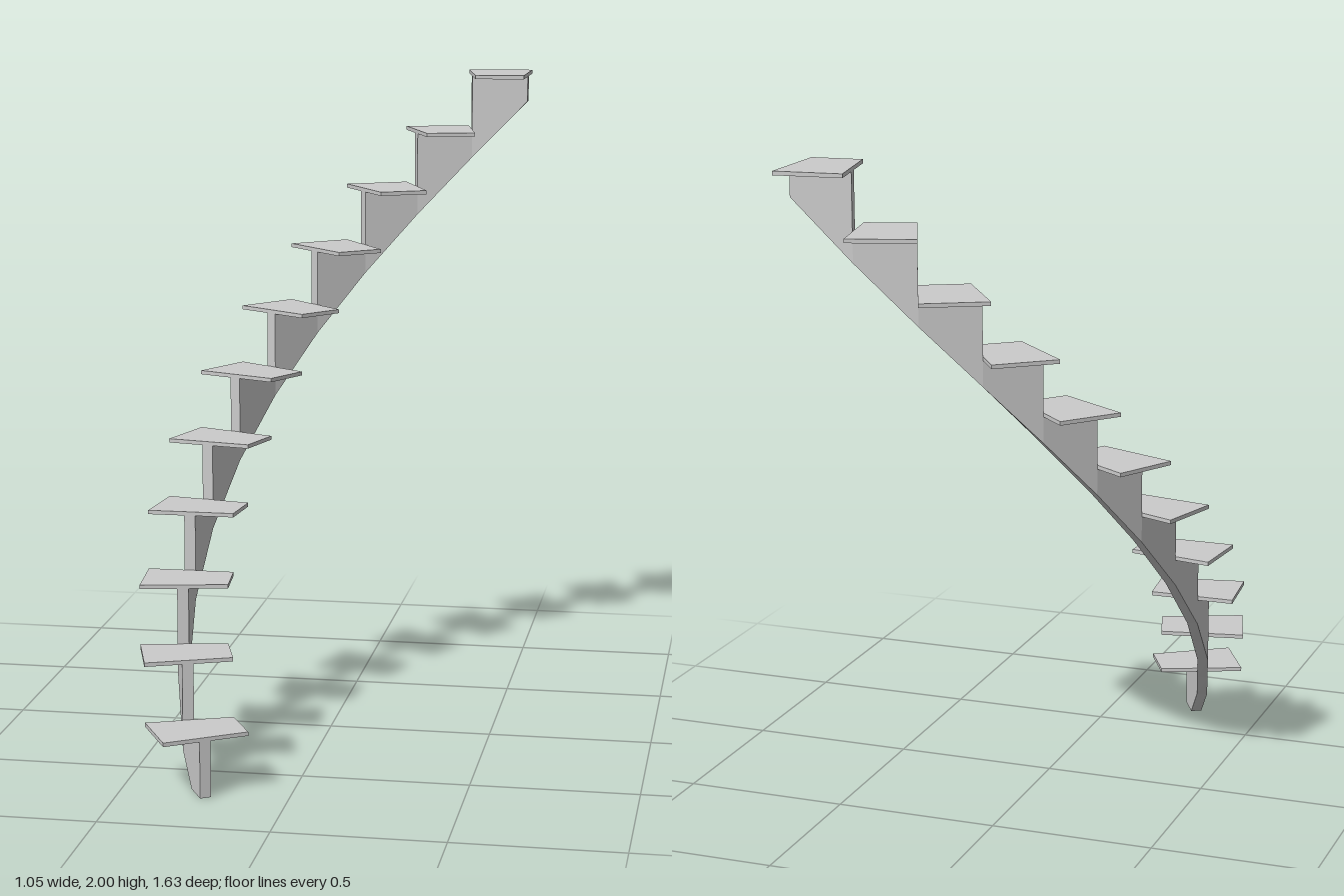
import * as THREE from 'three';

const STEPS = 11, RISE = 2 / STEPS, THICK = 0.012;
const TURN = Math.PI / 16, START = 3 * TURN;   // angle per step, angle of the foot
const CX = 0.524, CZ = 0.233;                  // centre of the curve
const TREAD = [0.784, 1.048], STRINGER = [0.902, 0.936]; // inner and outer radii

// Plan position at radius r, on the straight chord between step lines
function plan(r, t) {
  const at = (k) => {
    const a = START - k * TURN;
    return new THREE.Vector2(CX - r * Math.cos(a), CZ + r * Math.sin(a));
  };
  const k = Math.floor(t);
  return at(k).lerp(at(k + 1), t - k);
}

// Wedge-shaped tread
function treadGeometry(i) {
  const [ri, ro] = TREAD;
  const corners = [plan(ri, i), plan(ri, i + 1), plan(ro, i + 1), plan(ro, i)];
  const shape = new THREE.Shape(corners.map((p) => new THREE.Vector2(p.x, -p.y)));
  const geo = new THREE.ExtrudeGeometry(shape, { depth: THICK, bevelEnabled: false });
  geo.rotateX(-Math.PI / 2);
  geo.translate(0, (i + 1) * RISE - THICK, 0);
  return geo;
}

// Saw-toothed central stringer with a sloping underside
function stringerGeometry() {
  const pos = [];
  const [ri, ro] = STRINGER;
  const point = (r, t, y) => {
    const p = plan(r, t);
    return [p.x, y, p.y];
  };
  const quad = (a, b, c, d) => pos.push(...a, ...b, ...c, ...a, ...c, ...d);
  const under = (t) => Math.max(0, (t - 0.5) * RISE);

  for (let i = 0; i < STEPS; i++) {
    const top = (i + 1) * RISE - THICK;
    // riser face
    quad(point(ro, i, i * RISE), point(ri, i, i * RISE), point(ri, i, top), point(ro, i, top));
    for (const t0 of [i, i + 0.5]) {
      const t1 = t0 + 0.5, b0 = under(t0), b1 = under(t1);
      const in0 = point(ri, t0, b0), in1 = point(ri, t1, b1);
      const out0 = point(ro, t0, b0), out1 = point(ro, t1, b1);
      const inT0 = point(ri, t0, top), inT1 = point(ri, t1, top);
      const outT0 = point(ro, t0, top), outT1 = point(ro, t1, top);
      quad(in0, in1, inT1, inT0);
      quad(out1, out0, outT0, outT1);
      quad(outT0, inT0, inT1, outT1);
      quad(in0, out0, out1, in1);
    }
  }
  // upper end face
  const b = under(STEPS), top = 2 - THICK;
  quad(point(ri, STEPS, b), point(ro, STEPS, b), point(ro, STEPS, top), point(ri, STEPS, top));

  const geo = new THREE.BufferGeometry();
  geo.setAttribute('position', new THREE.Float32BufferAttribute(pos, 3));
  geo.computeVertexNormals();
  return geo;
}

export function createModel() {
  const model = new THREE.Group();
  model.name = 'curvedStaircase';
  const material = new THREE.MeshStandardMaterial({ color: 0xcccccc, flatShading: true });
  const add = (name, geometry) => {
    const mesh = new THREE.Mesh(geometry, material);
    mesh.name = name;
    model.add(mesh);
  };

  add('stringer', stringerGeometry());
  for (let i = 0; i < STEPS; i++) add(`tread${i + 1}`, treadGeometry(i));
  return model;
}
